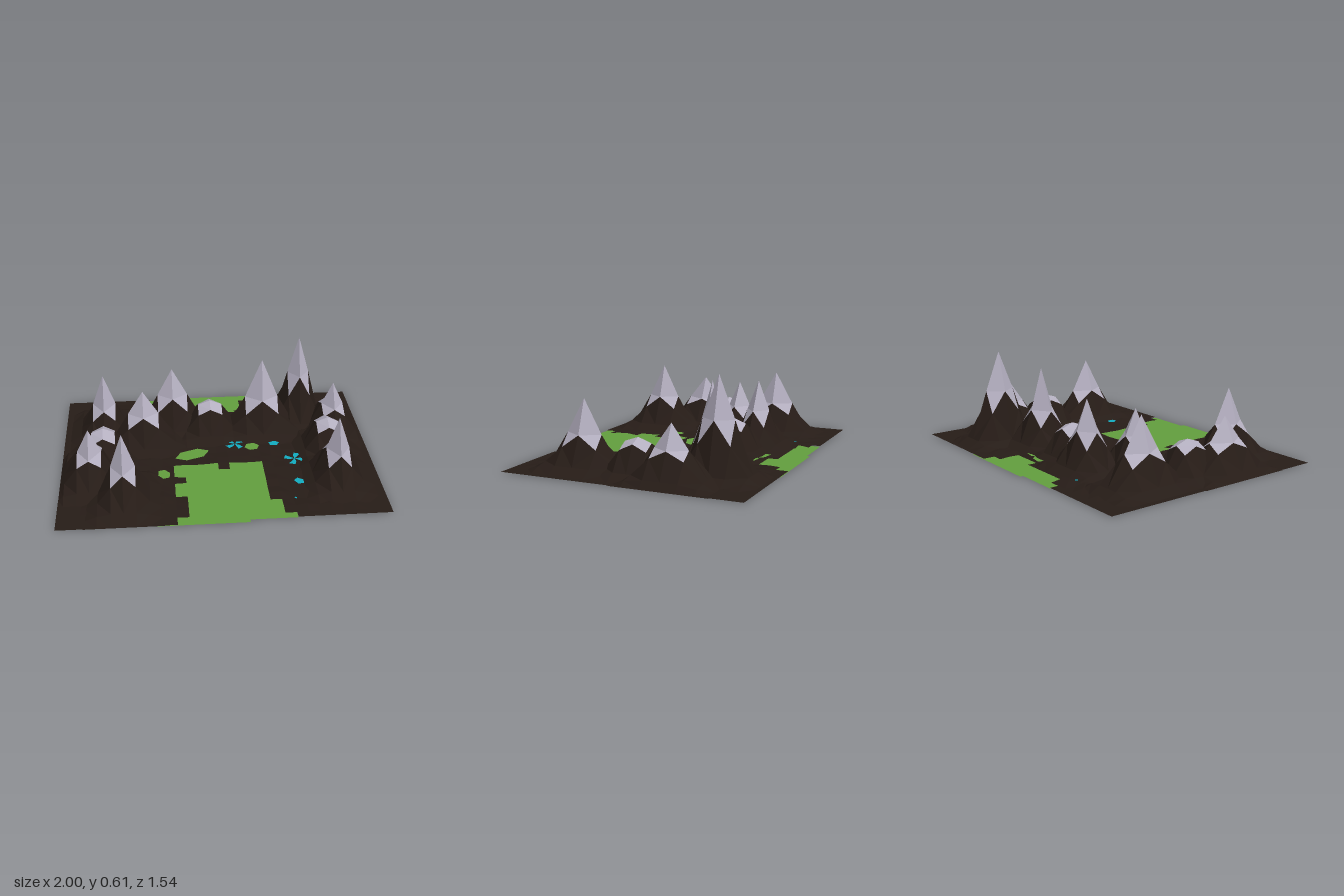
import * as THREE from 'three';

const material = (color) =>
  new THREE.MeshStandardMaterial({ color, flatShading: true, side: THREE.DoubleSide });
const rock = material(0x261c17);
const snow = material(0xb4afc0);
const grass = material(0x629d3e);
const water = material(0x12abc0);

// Flat-shaded mesh from a list of quads, each split from its first to its third corner
function quadMesh(name, quads, mat) {
  const pos = [];
  for (const [a, b, c, d] of quads) pos.push(...a, ...b, ...c, ...a, ...c, ...d);
  const geo = new THREE.BufferGeometry();
  geo.setAttribute('position', new THREE.Float32BufferAttribute(pos, 3));
  geo.computeVertexNormals();
  const mesh = new THREE.Mesh(geo, mat);
  mesh.name = name;
  return mesh;
}

// Peaks: x, z, height, cap half width, cap half depth, height of mid edges, height of corners
const PEAKS = [
  [-0.73, -0.34, 0.43, 0.075, 0.12, 0.22, 0.15],
  [-0.73, 0.01, 0.23, 0.075, 0.085, 0.20, 0.16],
  [-0.81, 0.23, 0.35, 0.075, 0.12, 0.20, 0.15],
  [-0.60, 0.465, 0.45, 0.075, 0.11, 0.23, 0.15],
  [-0.47, -0.17, 0.39, 0.10, 0.075, 0.23, 0.15],
  [-0.27, -0.38, 0.44, 0.10, 0.075, 0.25, 0.15],
  [-0.02, -0.31, 0.23, 0.08, 0.08, 0.20, 0.16],
  [0.33, -0.31, 0.52, 0.11, 0.08, 0.25, 0.15],
  [0.60, -0.465, 0.605, 0.072, 0.10, 0.35, 0.21],
  [0.81, -0.27, 0.35, 0.072, 0.107, 0.20, 0.15],
  [0.73, -0.02, 0.23, 0.072, 0.086, 0.20, 0.16],
  [0.73, 0.335, 0.43, 0.072, 0.115, 0.22, 0.14],
];
const foot = (s) => s + Math.min(s, 0.105) * 1.1; // half size of the foot of a peak
const clampX = (x) => THREE.MathUtils.clamp(x, -1, 1);
const clampZ = (z, x) =>
  THREE.MathUtils.clamp(z, x > -0.143 ? -0.775 : -0.755, x < 0.143 ? 0.77 : 0.745);
const underPeak = (x, z) =>
  PEAKS.some(([px, pz, , a, b]) => Math.abs(x - px) < foot(a) && Math.abs(z - pz) < foot(b));

// Square peak in rings: apex, snow line, foot and a shallow skirt
function mountain([px, pz, h, a, b, mid, corner]) {
  const offset = (i, s) => Math.sign(i) * [0, s, foot(s), foot(s) + 0.08][Math.abs(i)];
  const point = (i, j) => {
    const ring = Math.max(Math.abs(i), Math.abs(j));
    const isCorner = Math.abs(i) === Math.abs(j);
    const y = [h, isCorner ? corner : mid, isCorner ? 0.03 : 0.045, 0.002][ring];
    const x = clampX(px + offset(i, a));
    return [x, y, clampZ(pz + offset(j, b), x)];
  };
  const cap = [], slope = [];
  for (let i = -3; i < 3; i++) {
    for (let j = -3; j < 3; j++) {
      const q = [point(i, j), point(i, j + 1), point(i + 1, j + 1), point(i + 1, j)];
      if ((i < 0) === (j < 0)) q.push(q.shift()); // creases run across, around the apex
      const inner = i >= -1 && i < 1 && j >= -1 && j < 1;
      (inner ? cap : slope).push(q);
    }
  }
  const group = new THREE.Group();
  group.name = 'mountain';
  group.add(quadMesh('snowCap', cap, snow), quadMesh('rockSlope', slope, rock));
  return group;
}

// Rectangles x0, x1, z0, z1: grass open to the sky, and grass running on beneath the rock
const MEADOW = [
  [-0.43, 0.29, -0.8, -0.69], [-0.36, 0.22, -0.69, -0.63], [-0.29, 0.22, -0.63, -0.56],
  [0.07, 0.22, -0.56, -0.49], [-0.29, 0.29, 0.14, 0.28], [-0.22, 0.29, 0.28, 0.35],
  [-0.29, 0.29, 0.35, 0.49], [-0.22, 0.29, 0.49, 0.56], [-0.22, 0.36, 0.56, 0.7],
  [-0.29, 0.43, 0.7, 0.8],
];
const UNDERLAY = [
  [-0.43, 0.43, -0.8, -0.5], [-0.14, 0.43, -0.5, 0], [-0.43, 0.43, 0, 0.8],
  [0.43, 0.86, 0.21, 0.5],
];
const inside = (rects, x, z) =>
  rects.some(([x0, x1, z0, z1]) => x > x0 && x < x1 && z > z0 && z < z1);
const isMeadow = (x, z) =>
  inside(MEADOW, x, z) && !(x > 0 && x < 0.07 && z < 0.21 && z > 0);

// Ground tiles: rough rock, open beneath the peaks, over flat grass
function ground() {
  const rockTiles = [], grassTiles = [];
  const T = 1 / 14, D = 0.07;
  const rough = (x, z) => {
    const n = Math.sin(x * 127.1 + z * 311.7) * 43758.5;
    const rim = Math.max(Math.abs(x), Math.abs(z) * 1.3);
    return 0.005 + (rim < 0.85 ? 0.012 * (n - Math.floor(n)) : 0);
  };
  for (let i = -14; i < 14; i++) {
    for (let j = -11; j < 11; j++) {
      const cx = (i + 0.5) * T, cz = (j + 0.5) * D;
      const tile = (height) => [[0, 0], [0, 1], [1, 1], [1, 0]].map(([u, v]) => {
        const x = (i + u) * T;
        const z = (j + v) * D;
        return [x, height(x, z), clampZ(j + v === -11 ? -0.8 : z, cx)];
      });
      const open = isMeadow(cx, cz);
      if (!open && !underPeak(cx, cz)) rockTiles.push(tile(rough));
      if (open || inside(UNDERLAY, cx, cz)) grassTiles.push(tile(() => 0));
    }
  }
  return [quadMesh('rockGround', rockTiles, rock), quadMesh('meadow', grassTiles, grass)];
}

// Small flat patch lying on the ground
function patch(name, mat, x, z, w, d, turn, sides = 6) {
  const geo = new THREE.CircleGeometry(1, sides).rotateX(-Math.PI / 2);
  const mesh = new THREE.Mesh(geo.scale(w, 1, d), mat);
  mesh.position.set(x, 0.019, z);
  mesh.rotation.y = turn;
  mesh.name = name;
  return mesh;
}

// Four blades of water meeting at a point
function pinwheel(x, z, size, turn) {
  const quads = [];
  for (let k = 0; k < 4; k++) {
    const at = (r, t) => [r * Math.cos(t), 0, -r * Math.sin(t)];
    const t = (k * Math.PI) / 2;
    quads.push([[0, 0, 0], at(size, t), at(size, t + 0.6), at(size * 0.5, t + 0.85)]);
  }
  const mesh = quadMesh('pool', quads, water);
  mesh.position.set(x, 0.019, z);
  mesh.rotation.y = turn;
  return mesh;
}

export function createModel() {
  const model = new THREE.Group();
  model.name = 'mountainValley';
  model.add(...ground());
  for (const peak of PEAKS) model.add(mountain(peak));

  // Grass showing through the rock
  model.add(
    patch('grassPatch', grass, -0.16, 0.03, 0.12, 0.06, 0.35),
    patch('grassPatch', grass, 0.24, -0.04, 0.05, 0.045, 0.2),
    patch('grassPatch', grass, -0.35, 0.25, 0.04, 0.055, 0.3),
    patch('grassPatch', grass, 0.13, -0.48, 0.07, 0.05, 0.6, 5),
    patch('grassPatch', grass, 0.04, -0.53, 0.07, 0.03, -0.3, 5),
    patch('grassPatch', grass, 0.25, -0.48, 0.04, 0.02, 0.2, 5),
  );

  // Pools
  model.add(
    pinwheel(0.13, -0.08, 0.065, 0.3),
    pinwheel(0.5, 0.13, 0.07, 0.9),
    patch('pool', water, 0.39, -0.07, 0.038, 0.03, 0.2, 5),
    patch('pool', water, 0.49, 0.39, 0.03, 0.038, 0.5, 5),
    patch('pool', water, -0.44, -0.58, 0.012, 0.012, 0, 4),
    patch('pool', water, 0.44, 0.57, 0.01, 0.01, 0, 4),
    patch('pool', water, -0.46, -0.16, 0.06, 0.04, 0.4, 5),
    patch('pool', water, -0.35, -0.4, 0.04, 0.03, 0.1, 5),
  );
  return model;
}
